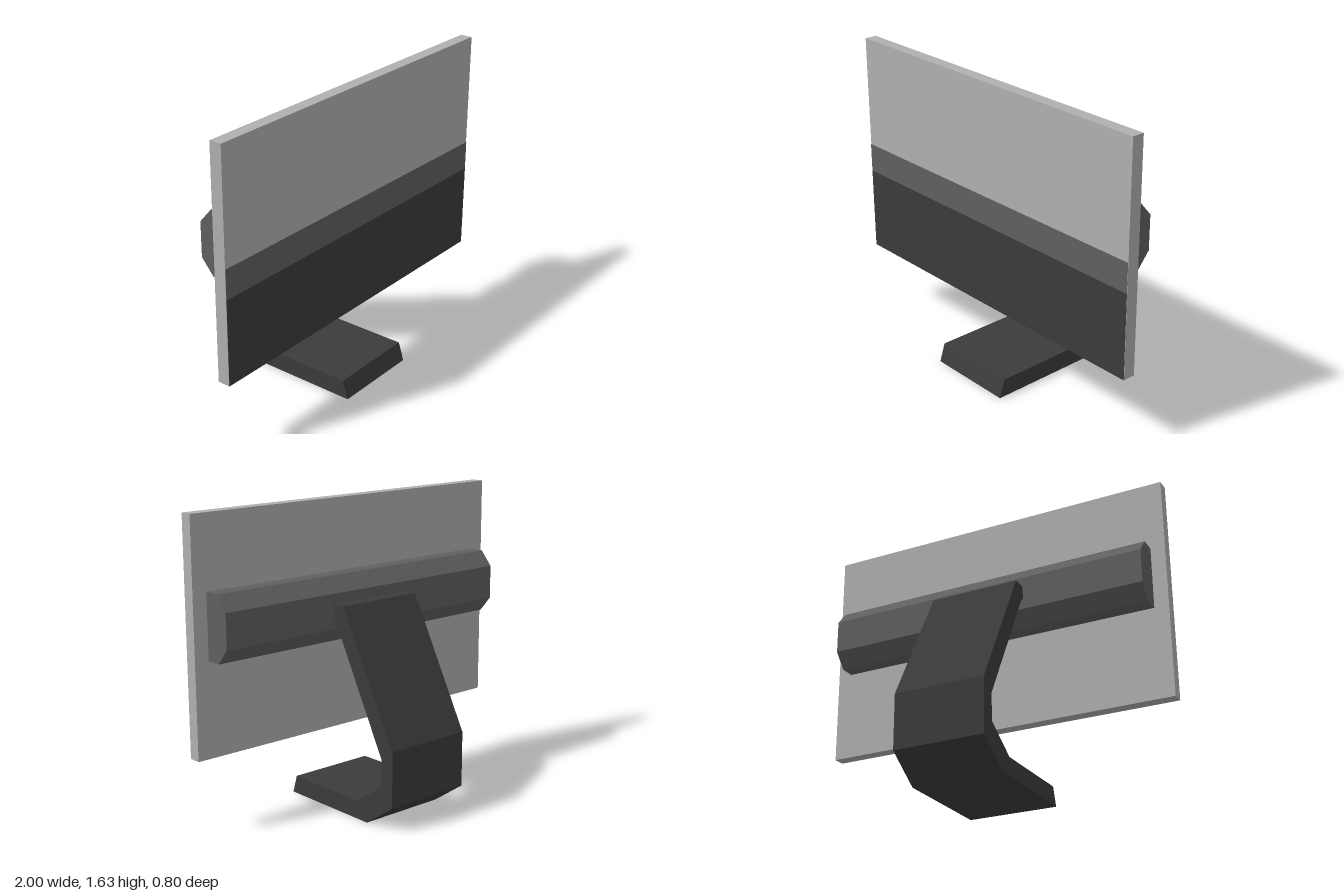
import * as THREE from 'three';

const flat = (name, color) => {
  const m = new THREE.MeshStandardMaterial({ color });
  m.name = name;
  return m;
};

export function createModel() {
  const model = new THREE.Group();
  model.name = 'desktopMonitor';
  const lightGrey = flat('lightGrey', 0xb0b0b0);
  const midGrey = flat('midGrey', 0x606060);
  const darkGrey = flat('darkGrey', 0x3b3b3b);

  const add = (name, geometry, material, x = 0, y = 0, z = 0) => {
    const mesh = new THREE.Mesh(geometry, material);
    mesh.name = name;
    mesh.position.set(x, y, z);
    model.add(mesh);
  };

  // Side profile of [z, y] points, extruded across x and centred
  const extrudeAcross = (profile, width) => {
    const shape = new THREE.Shape(profile.map(([z, y]) => new THREE.Vector2(z, y)));
    return new THREE.ExtrudeGeometry(shape, { depth: width, bevelEnabled: false })
      .rotateY(-Math.PI / 2)
      .translate(width / 2, 0, 0);
  };

  // Screen panel
  const bottom = 0.4, top = 1.635, back = 0.2, front = 0.267;
  add('screenPanel', new THREE.BoxGeometry(2, top - bottom, front - back), lightGrey,
    0, (bottom + top) / 2, (front + back) / 2);

  // Painted bands on the screen face
  const band = (name, y0, y1, material) =>
    add(name, new THREE.PlaneGeometry(2, y1 - y0), material, 0, (y0 + y1) / 2, front + 0.002);
  band('screenLowerBand', bottom, 0.863, darkGrey);
  band('screenMiddleBand', 0.863, 1.023, midGrey);

  // Chamfered housing along the back of the panel
  add('rearHousing', extrudeAcross([
    [0.2, 0.903], [0.2, 1.25], [0.115, 1.25], [0.045, 1.17], [0.045, 0.985], [0.115, 0.903],
  ], 1.84), midGrey);

  // Bent stand: foot, heel and leaning arm in one strip
  add('stand', extrudeAcross([
    [0.402, 0], [0.37, 0.1], [-0.135, 0.1], [-0.322, 0.225], [-0.322, 0.372],
    [0.033, 1.04], [0.045, 1.04], [0.045, 1.117], [-0.034, 1.117],
    [-0.402, 0.432], [-0.402, 0.133], [-0.21, 0],
  ], 0.5), darkGrey);

  return model;
}
